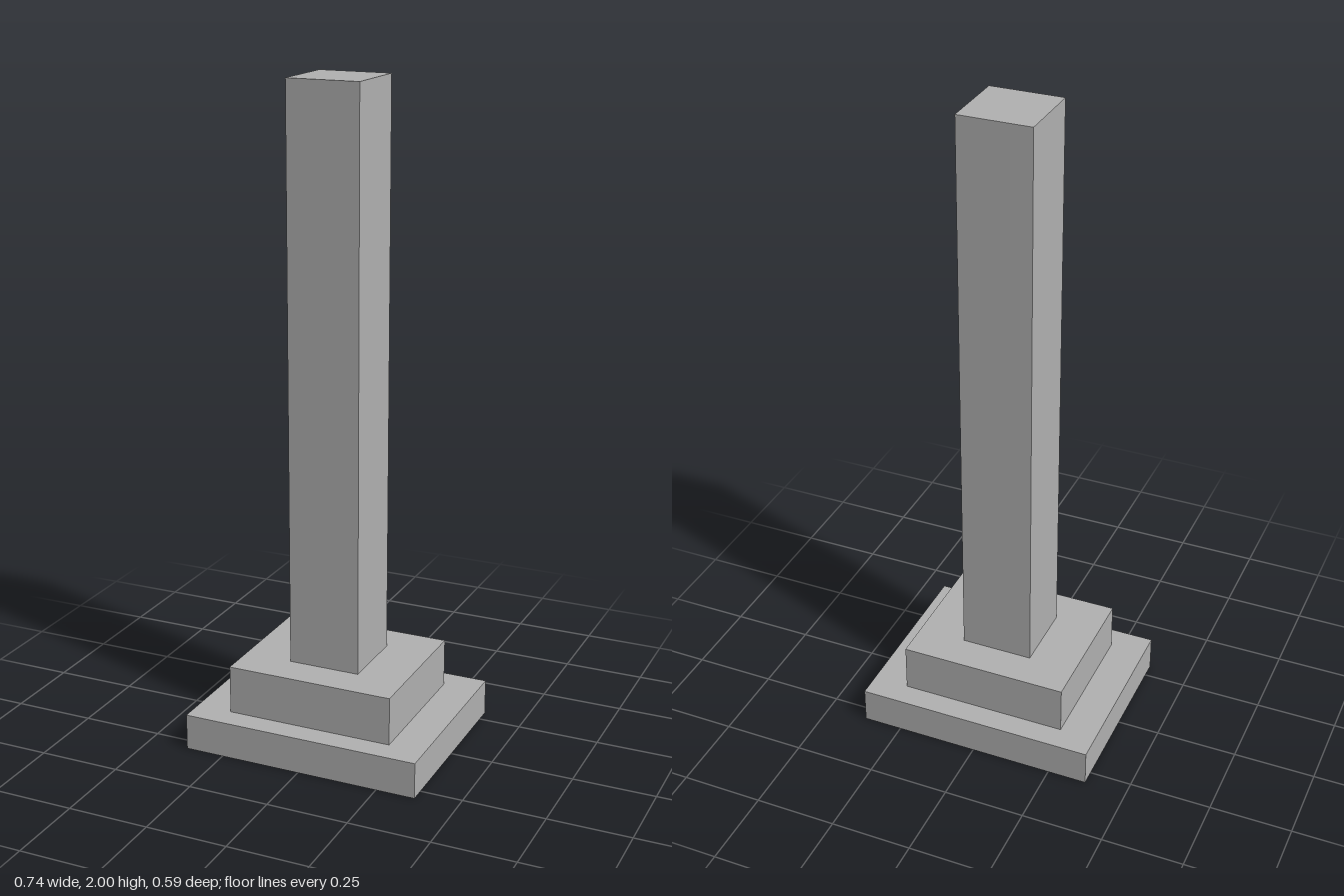
import * as THREE from 'three';

export function createModel() {
  const model = new THREE.Group();
  model.name = 'steppedPillar';
  const stone = new THREE.MeshStandardMaterial({ color: 0xb2b2b2 });
  stone.name = 'grey stone';

  // Box block spanning bottom to top, centred on the vertical axis
  const addBlock = (name, width, depth, bottom, top) => {
    const block = new THREE.Mesh(new THREE.BoxGeometry(width, top - bottom, depth), stone);
    block.name = name;
    block.position.y = (bottom + top) / 2;
    model.add(block);
  };

  addBlock('basePlinth', 0.741, 0.593, 0, 0.111);
  addBlock('upperPlinth', 0.519, 0.444, 0.111, 0.259);
  addBlock('column', 0.222, 0.222, 0.259, 2);

  return model;
}
